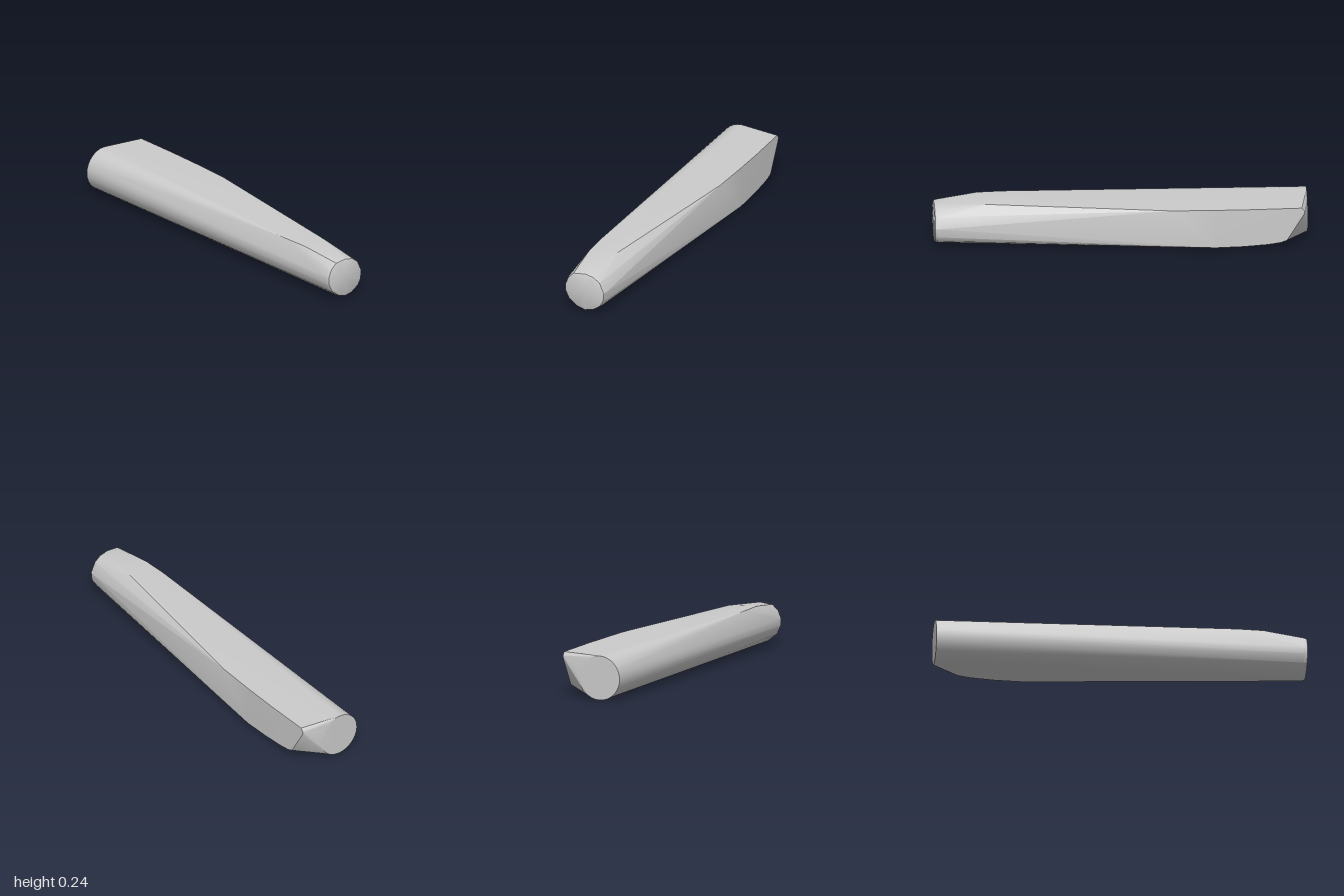
import * as THREE from 'three';
import { ConvexGeometry } from 'three/addons/geometries/ConvexGeometry.js';
import { toCreasedNormals } from 'three/addons/utils/BufferGeometryUtils.js';

const V = (x, y, z) => new THREE.Vector3(x, y, z);
const CX = -0.055, CY = 0.117;

// Faceted outline of the narrow front end, counter-clockwise in x, y
const FRONT = [
  [-0.12, 0.215], [-0.155, 0.182], [-0.172, 0.14], [-0.171, 0.1], [-0.15, 0.055], [-0.1, 0.017],
  [-0.052, 0.003], [-0.005, 0.013], [0.038, 0.042], [0.058, 0.075], [0.063, 0.125],
  [0.036, 0.184], [0, 0.211], [-0.05, 0.223],
];

function bodyPoints() {
  const pts = [];

  // Front end: full outline, then a slightly smaller, softly domed cap
  for (const [x, y] of FRONT) {
    pts.push(V(x, y, 0.975));
    pts.push(V(CX + (x - CX) * 0.96, CY + (y - CY) * 0.96, 0.993));
    pts.push(V(CX + (x - CX) * 0.86, CY + (y - CY) * 0.86, 0.998));
  }
  pts.push(V(CX, CY, 1));

  // Round back end
  const sides = 32;
  for (let i = 0; i < sides; i++) {
    const a = (i / sides) * Math.PI * 2;
    pts.push(V(CX + 0.12 * Math.cos(a), 0.12 + 0.12 * Math.sin(a), -1));
  }

  // Flat top, ending short of the front
  pts.push(V(-0.141, 0.24, 0.62), V(-0.136, 0.24, 0.76), V(0.012, 0.24, 0.72));
  pts.push(V(0.158, 0.24, -0.27), V(0.168, 0.24, -0.5), V(0.173, 0.24, -0.7), V(0.173, 0.24, -0.96));

  // Flat left wall: cut-away back edge and lower edge
  for (const [y, z] of [[0.22, -0.976], [0.2, -0.97], [0.05, -0.88], [0.038, -0.85], [0.028, -0.78], [0.02, -0.65], [0.018, -0.5]])
    pts.push(V(0.173, y, z));
  return pts;
}

export function createModel() {
  const group = new THREE.Group();
  group.name = 'taperedHandle';

  const geometry = toCreasedNormals(new ConvexGeometry(bodyPoints()), 0.45);
  const body = new THREE.Mesh(geometry, new THREE.MeshStandardMaterial({ color: 0xcccccc }));
  body.name = 'handleBody';
  group.add(body);
  return group;
}
